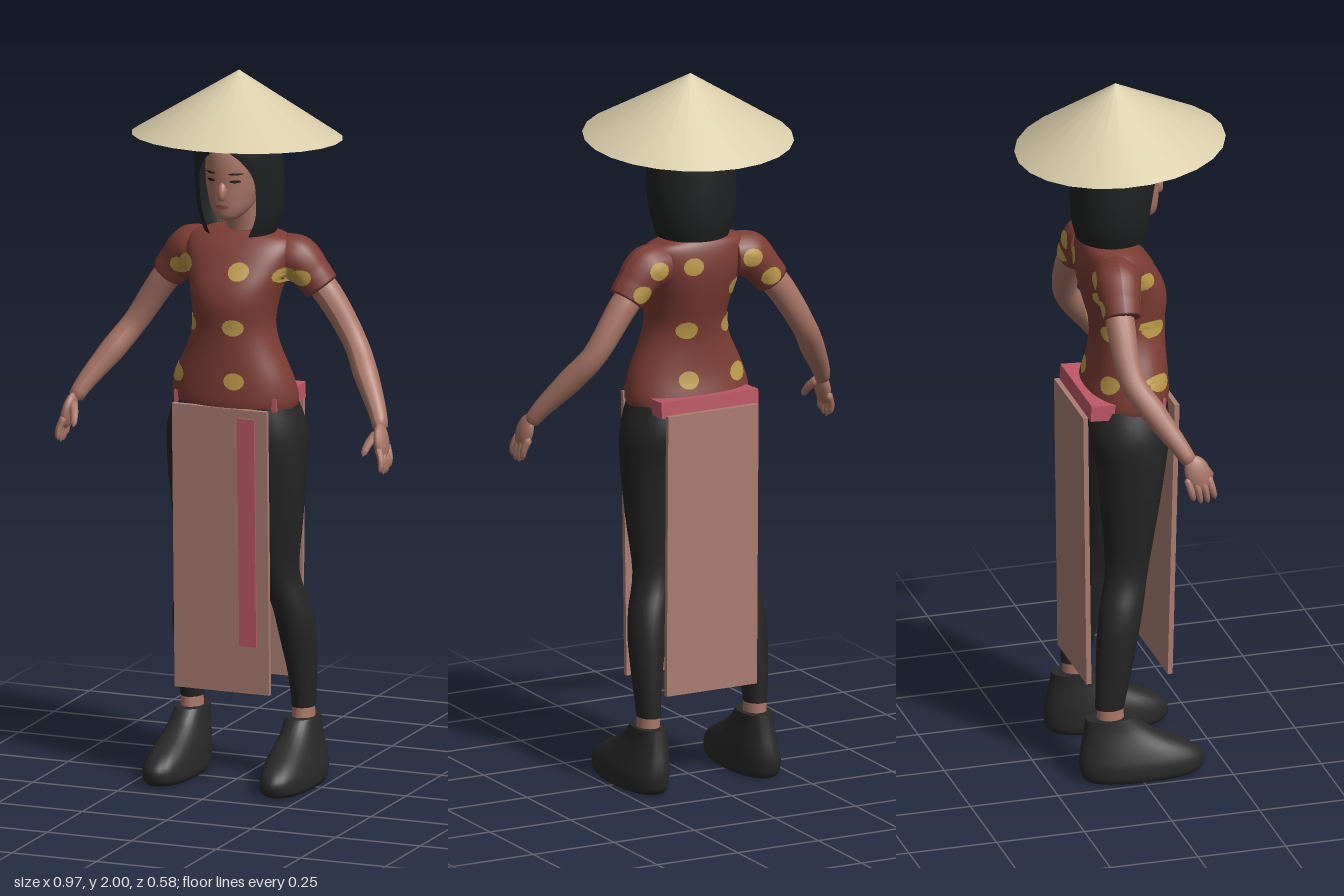
import * as THREE from 'three';

const mat = (name, color, side = THREE.FrontSide) => {
  const m = new THREE.MeshStandardMaterial({ color, side });
  m.name = name;
  return m;
};

// Catmull-Rom refinement of a list of cross-section rows
function refine(rows, k = 4) {
  const out = [];
  for (let i = 0; i < rows.length - 1; i++) {
    const [a, b, c, d] = [rows[Math.max(i - 1, 0)], rows[i], rows[i + 1], rows[Math.min(i + 2, rows.length - 1)]];
    for (let s = 0; s < k; s++) {
      const t = s / k;
      out.push(b.map((v, j) => v + 0.5 * t * (c[j] - a[j] +
        t * (2 * a[j] - 5 * v + 4 * c[j] - d[j] + t * (3 * (v - c[j]) + d[j] - a[j])))));
    }
  }
  out.push(rows[rows.length - 1]);
  return out;
}

function buildGeometry(pos, idx) {
  const g = new THREE.BufferGeometry();
  g.setAttribute('position', new THREE.Float32BufferAttribute(pos, 3));
  g.setIndex(idx);
  g.computeVertexNormals();
  return g;
}

// Rows rise in y: [y, centreX, halfWidth, zFront, zBack, openingAngle]
function loft(rows, { seg = 28, power = 1, open = false } = {}) {
  const pos = [], idx = [], list = refine(rows);
  if (!open) { // closed ends
    const cap = ([y, cx, , f, b]) => [y, cx, 0, (f + b) / 2, (f + b) / 2];
    list.unshift(cap(list[0]), list[0]);
    list.push(list[list.length - 1], cap(list[list.length - 1]));
  }
  const n = open ? seg + 1 : seg;
  const bend = v => Math.sign(v) * Math.abs(v) ** power;
  list.forEach(([y, cx, rx, f, b, gap = 0], i) => {
    for (let j = 0; j < n; j++) {
      const t = gap + (j / seg) * (Math.PI * 2 - 2 * gap);
      pos.push(cx + Math.max(rx, 0) * bend(Math.sin(t)), y, (f + b) / 2 + (f - b) / 2 * bend(Math.cos(t)));
      if (i < list.length - 1 && j < seg) {
        const p = i * n + j, q = i * n + (j + 1) % n;
        idx.push(p, q, q + n, p, q + n, p + n);
      }
    }
  });
  return buildGeometry(pos, idx);
}

// Tapered limb through points [x, y, z, radius]
function limb(points, steps = 24, seg = 14) {
  const curve = new THREE.CatmullRomCurve3(points.map(p => new THREE.Vector3(p[0], p[1], p[2])));
  const g = new THREE.TubeGeometry(curve, steps, 1, seg);
  const p = g.attributes.position, v = new THREE.Vector3();
  for (let i = 0; i <= steps; i++) {
    const c = curve.getPointAt(i / steps);
    const u = curve.getUtoTmapping(i / steps) * (points.length - 1);
    const k = Math.min(Math.floor(u), points.length - 2);
    const r = i === 0 || i === steps ? 0.0005 : THREE.MathUtils.lerp(points[k][3], points[k + 1][3], u - k);
    for (let j = 0; j <= seg; j++) {
      const q = i * (seg + 1) + j;
      v.fromBufferAttribute(p, q).sub(c).multiplyScalar(r).add(c);
      p.setXYZ(q, v.x, v.y, v.z);
    }
  }
  g.computeVertexNormals();
  return g;
}

function mirrored(geometry) {
  const g = geometry.clone().scale(-1, 1, 1), a = g.index.array;
  for (let i = 0; i < a.length; i += 3) [a[i], a[i + 1]] = [a[i + 1], a[i]];
  g.computeVertexNormals();
  return g;
}

// Thin oval laid on the surface of the targets, seen from front (1) or back (-1)
function patch(targets, x, y, rx, ry, dir = 1) {
  const ray = new THREE.Raycaster(), pos = [], idx = [], rings = 3, seg = 14;
  const cast = (px, py) => {
    ray.set(new THREE.Vector3(px, py, dir), new THREE.Vector3(0, 0, -dir));
    const h = ray.intersectObjects(targets, false)[0];
    return h && h.point.addScaledVector(h.face.normal, 0.003);
  };
  const centre = cast(x, y);
  if (!centre) return new THREE.BufferGeometry();
  pos.push(...centre.toArray());
  for (let i = 1; i <= rings; i++) for (let j = 0; j < seg; j++) {
    const a = (j / seg) * Math.PI * 2 * dir;
    let hit = null;
    for (let f = i / rings; f > 0.05 && !hit; f *= 0.8) hit = cast(x + rx * f * Math.cos(a), y + ry * f * Math.sin(a));
    pos.push(...(hit || centre).toArray());
    const k = (j + 1) % seg, o = 1 + (i - 1) * seg;
    if (i === 1) idx.push(0, 1 + j, 1 + k);
    else idx.push(o - seg + j, o + j, o + k, o - seg + j, o + k, o - seg + k);
  }
  return buildGeometry(pos, idx);
}

export function createModel() {
  const model = new THREE.Group();
  const skin = mat('skin', 0xa87566), black = mat('trouser black', 0x252525), shoeBlack = mat('shoe black', 0x292929);
  const hairBlack = mat('hair black', 0x202122, THREE.DoubleSide), red = mat('shirt red', 0x7c3d34);
  const gold = mat('spot gold', 0xbc9a4a, THREE.DoubleSide), rose = mat('panel rose', 0xab7e73);
  const pink = mat('trim pink', 0xbd5866), straw = mat('hat straw', 0xd8cca9, THREE.DoubleSide);
  const lipRed = mat('lip red', 0x8f5048);
  const add = (name, geometry, material) => {
    const m = new THREE.Mesh(geometry, material);
    m.name = name;
    model.add(m);
    return m;
  };
  const pair = (name, geometry, material) =>
    [add(name + 'Left', geometry, material), add(name + 'Right', mirrored(geometry), material)];
  const box = (name, material, w, h, d, x, y, z, tilt = 0) => {
    const m = add(name, new THREE.BoxGeometry(w, h, d), material);
    m.position.set(x, y, z);
    m.rotation.x = tilt;
  };

  // Conical hat, tipped slightly back
  const hat = add('hat', new THREE.ConeGeometry(0.29, 0.182, 24, 1, true), straw);
  hat.position.set(0, 1.909, -0.006);
  hat.rotation.x = -0.074;

  // Head, nose, ears hidden by hair, neck
  const head = add('head', loft([
    [1.597, 0, 0.02, 0.085, 0.035], [1.607, 0, 0.036, 0.1, 0.01], [1.63, 0, 0.056, 0.106, -0.03],
    [1.66, 0, 0.068, 0.108, -0.06], [1.7, 0, 0.078, 0.108, -0.08], [1.75, 0, 0.08, 0.11, -0.09],
    [1.8, 0, 0.075, 0.1, -0.09], [1.84, 0, 0.05, 0.06, -0.06]]), skin);
  const nose = add('nose', new THREE.SphereGeometry(1, 12, 10), skin);
  nose.scale.set(0.013, 0.027, 0.016);
  nose.position.set(0, 1.683, 0.107);
  nose.rotation.x = -0.25;
  for (const s of [-1, 1]) {
    add('eye', patch([head], s * 0.034, 1.713, 0.014, 0.004), hairBlack);
    add('eyebrow', patch([head], s * 0.035, 1.734, 0.018, 0.003), hairBlack);
  }
  add('lips', patch([head], 0, 1.64, 0.018, 0.006), lipRed);
  add('neck', limb([[0, 1.49, -0.05, 0.052], [0, 1.56, -0.04, 0.046], [0, 1.65, -0.01, 0.044]]), skin);

  // Bobbed hair, parted around the face
  add('hair', loft([
    [1.548, 0, 0.1, 0.075, -0.122, 0.6], [1.6, 0, 0.117, 0.085, -0.134, 0.72], [1.66, 0, 0.124, 0.095, -0.137, 0.73],
    [1.72, 0, 0.123, 0.106, -0.136, 0.7], [1.77, 0, 0.12, 0.115, -0.133, 0.46], [1.805, 0, 0.113, 0.115, -0.125, 0.12],
    [1.845, 0, 0.09, 0.09, -0.1, 0], [1.88, 0, 0.04, 0.035, -0.045, 0], [1.885, 0, 0, -0.005, -0.005, 0]],
  { open: true, seg: 36 }), hairBlack);

  // Fitted shirt with short sleeves
  const torso = add('shirt', loft([
    [1.067, 0, 0.174, 0.122, -0.108], [1.1, 0, 0.179, 0.126, -0.104], [1.16, 0, 0.164, 0.124, -0.088],
    [1.24, 0, 0.128, 0.121, -0.08], [1.3, 0, 0.113, 0.122, -0.086], [1.36, 0, 0.12, 0.127, -0.102],
    [1.41, 0, 0.132, 0.116, -0.115], [1.46, 0, 0.148, 0.088, -0.121], [1.505, 0, 0.155, 0.058, -0.117],
    [1.535, 0, 0.138, 0.03, -0.108], [1.552, 0, 0.08, 0.012, -0.095]], { seg: 40, power: 0.92 }), red);
  const sleeves = pair('sleeve', limb([
    [0.1, 1.478, -0.048, 0.06], [0.155, 1.475, -0.052, 0.064], [0.198, 1.433, -0.057, 0.054],
    [0.23, 1.393, -0.06, 0.049]], 28, 18), red);

  // Gold spots on front and back
  const cloth = [torso, ...sleeves];
  const frontSpots = [[0.04, 1.455], [0.035, 1.305], [0.04, 1.155], [-0.145, 1.155], [-0.107, 1.3],
    [-0.135, 1.455], [-0.17, 1.437], [0.15, 1.44], [0.187, 1.433]];
  const backSpots = [[0.045, 1.48], [0.045, 1.29], [0.045, 1.15], [-0.115, 1.15], [-0.09, 1.29],
    [-0.1, 1.4], [-0.14, 1.48], [0.15, 1.48], [0.2, 1.42], [-0.2, 1.42]];
  cloth.forEach(m => m.updateMatrixWorld());
  frontSpots.forEach(([x, y]) => add('spotFront', patch(cloth, x, y, 0.029, 0.024), gold));
  backSpots.forEach(([x, y]) => add('spotBack', patch(cloth, x, y, 0.029, 0.025, -1), gold));

  // Arms and hands
  pair('arm', limb([
    [0.165, 1.462, -0.058, 0.04], [0.24, 1.38, -0.068, 0.04], [0.325, 1.25, -0.06, 0.034],
    [0.375, 1.175, -0.015, 0.035], [0.435, 1.085, 0.045, 0.025], [0.457, 1.04, 0.072, 0.02]], 32), skin);
  pair('palm', new THREE.SphereGeometry(1, 14, 12).scale(0.018, 0.052, 0.036)
    .rotateX(-0.3).rotateZ(0.2).translate(0.462, 1.018, 0.085), skin);
  for (let i = 0; i < 4; i++) {
    const z = 0.118 - 0.02 * i, long = i === 0 || i === 3 ? 0.01 : 0;
    pair('finger', limb([[0.463, 1.01, z - 0.005, 0.011], [0.477, 0.97, z + 0.005, 0.01],
      [0.477, 0.932 + long, z + 0.012, 0.007]], 8, 8), skin);
  }
  pair('thumb', limb([[0.452, 1.045, 0.085, 0.014], [0.435, 1.015, 0.115, 0.012],
    [0.428, 0.985, 0.138, 0.008]], 8, 8), skin);

  // Trousers, ankles and shoes
  pair('trouserLeg', loft([
    [0.21, 0.165, 0.031, -0.038, -0.118], [0.3, 0.165, 0.038, -0.02, -0.117], [0.42, 0.157, 0.051, 0.005, -0.11],
    [0.5, 0.145, 0.053, 0.022, -0.098], [0.6, 0.117, 0.056, 0.045, -0.075], [0.75, 0.108, 0.08, 0.072, -0.082],
    [0.9, 0.102, 0.097, 0.097, -0.095], [1.0, 0.095, 0.103, 0.11, -0.115], [1.08, 0.085, 0.088, 0.108, -0.1]]), black);
  pair('ankle', loft([[0.1, 0.165, 0.036, -0.03, -0.118], [0.225, 0.165, 0.029, -0.042, -0.112]]), skin);
  pair('shoe', loft([
    [0.004, 0.173, 0.06, 0.165, -0.145], [0.018, 0.173, 0.067, 0.183, -0.158], [0.05, 0.173, 0.067, 0.185, -0.166],
    [0.082, 0.17, 0.062, 0.15, -0.164], [0.12, 0.167, 0.053, 0.075, -0.156], [0.15, 0.165, 0.047, 0.025, -0.15],
    [0.182, 0.163, 0.044, -0.01, -0.145]], { power: 0.9 }), shoeBlack);

  // Hanging cloth panels with pink trims
  box('frontPanel', rose, 0.28, 0.803, 0.014, 0, 0.678, 0.112, 0.025);
  box('backPanel', rose, 0.28, 0.797, 0.014, 0, 0.674, -0.134, -0.012);
  box('frontStripe', pink, 0.05, 0.645, 0.008, 0.08, 0.733, 0.122, 0.025);
  box('backBelt', pink, 0.3, 0.045, 0.07, 0, 1.085, -0.091, 0.06);
  box('frontBelt', pink, 0.3, 0.036, 0.025, 0, 1.088, 0.075);
  return model;
}
